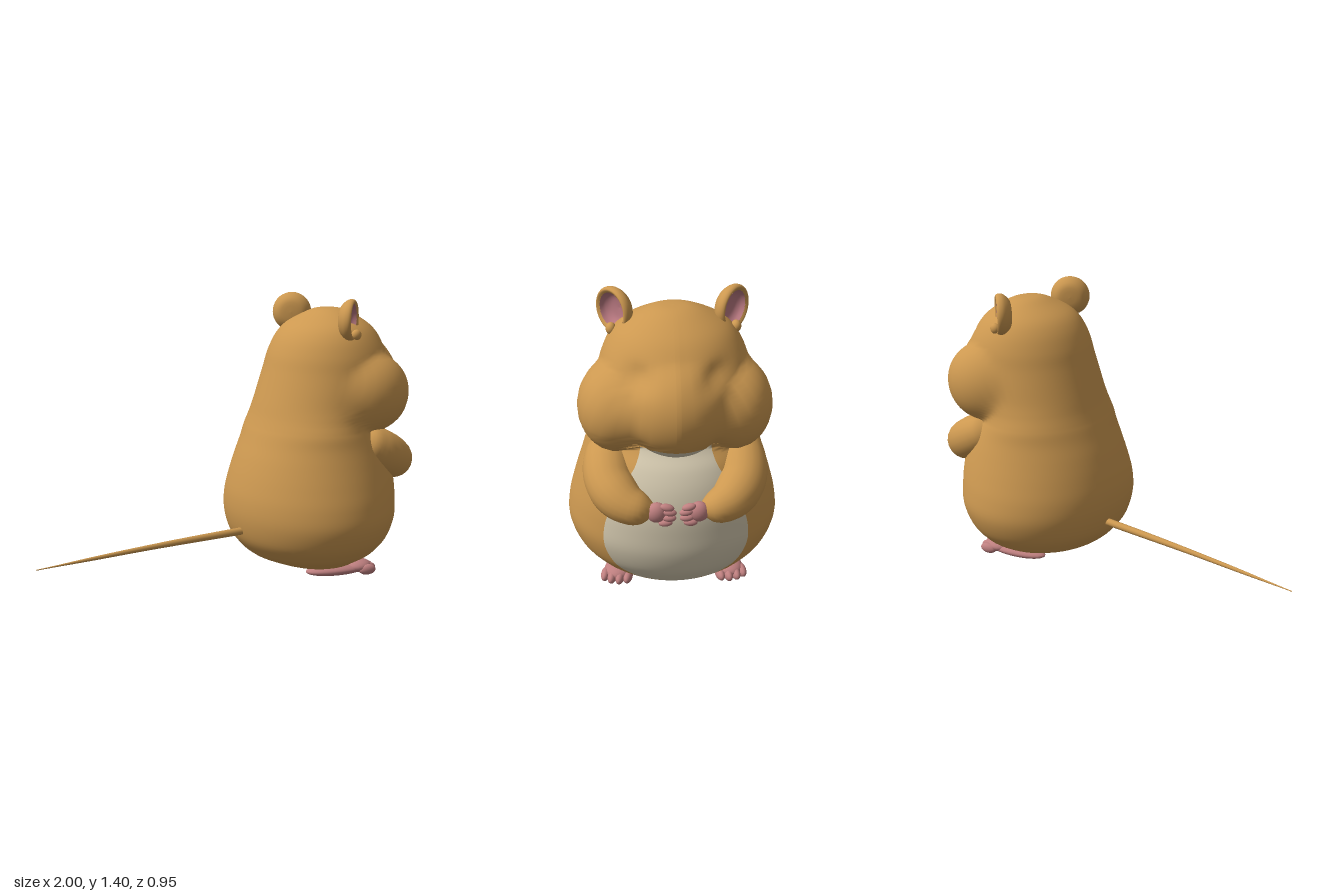
import * as THREE from 'three';
import { mergeVertices } from 'three/addons/utils/BufferGeometryUtils.js';

const mat = (name, color, side = THREE.FrontSide) => {
  const m = new THREE.MeshStandardMaterial({ color, side });
  m.name = name;
  return m;
};

// Body rings: height, back x, front x, half width, half width of the belly patch
const RINGS = [
  [0.035, 0.52, 0.52, 0, 0], [0.037, 0.36, 0.66, 0.2, 0], [0.05, 0.3, 0.72, 0.26, 0],
  [0.085, 0.215, 0.795, 0.32, 0], [0.1, 0.19, 0.815, 0.345, 0.12], [0.13, 0.155, 0.845, 0.385, 0.19],
  [0.2, 0.105, 0.895, 0.44, 0.265], [0.3, 0.08, 0.925, 0.473, 0.31], [0.4, 0.08, 0.93, 0.465, 0.31],
  [0.5, 0.1, 0.925, 0.44, 0.28], [0.6, 0.13, 0.9, 0.41, 0.235], [0.68, 0.16, 0.86, 0.385, 0.18],
  [0.735, 0.18, 0.815, 0.37, 0.155], [0.765, 0.192, 0.8, 0.36, 0.15], [0.8, 0.205, 0.81, 0.35, 0.135],
  [0.83, 0.215, 0.83, 0.345, 0.09], [0.88, 0.23, 0.87, 0.34, 0], [0.96, 0.255, 0.91, 0.335, 0],
  [1.04, 0.28, 0.93, 0.325, 0], [1.12, 0.305, 0.915, 0.31, 0], [1.2, 0.345, 0.86, 0.275, 0],
  [1.26, 0.4, 0.805, 0.225, 0], [1.31, 0.49, 0.73, 0.14, 0], [1.335, 0.55, 0.67, 0.07, 0],
  [1.34, 0.61, 0.61, 0, 0],
];
const BELLY_FROM = 3, BELLY_TO = 15;

// Swellings blended into the body: centre and radii
const BULGES = [
  { c: [0.79, 0.97, 0], r: [0.21, 0.22, 0.22] },      // snout
  { c: [0.7, 0.93, 0.245], r: [0.2, 0.195, 0.165] },  // cheeks
  { c: [0.7, 0.93, -0.245], r: [0.2, 0.195, 0.165] },
];

// Distance from (cx, y, 0) to the far side of a bulge in direction a
function exitDistance({ c, r }, cx, y, a) {
  const k = 1 - ((y - c[1]) / r[1]) ** 2;
  if (k <= 0) return 0;
  const dx = Math.cos(a) / r[0], dz = Math.sin(a) / r[2];
  const ox = (cx - c[0]) / r[0], oz = -c[2] / r[2];
  const A = dx * dx + dz * dz, B = ox * dx + oz * dz, D = B * B - A * (ox * ox + oz * oz - k);
  return D > 0 ? Math.max(0, (Math.sqrt(D) - B) / A) : 0;
}

function bodyGeometry() {
  const STEPS = 5, NB = 18, NF = 50, N = NB + NF, P = 16;
  const curve = (i, j) => new THREE.SplineCurve(RINGS.map(r => new THREE.Vector2(r[i], r[j])));
  const heightWidth = curve(0, 3), backFront = curve(1, 2), patch = curve(4, 4);
  const rows = (RINGS.length - 1) * STEPS, pos = [];
  for (let i = 0; i <= rows; i++) {
    const t = i / rows;
    const { x: y, y: w } = heightWidth.getPoint(t);
    const { x: back, y: front } = backFront.getPoint(t);
    const cx = (back + front) / 2, depth = Math.max(0.0001, (front - back) / 2), width = Math.max(0.0001, w);
    const radius = a => {
      const base = 1 / Math.hypot(Math.cos(a) / depth, Math.sin(a) / width);
      const r = BULGES.reduce((s, b) => s + exitDistance(b, cx, y, a) ** P, base ** P) ** (1 / P);
      if (Math.cos(a) < 0) return r;
      const z = Math.abs(r * Math.sin(a));    // shallow eye hollow
      return r - 0.028 * Math.exp(-(((y - 1.13) / 0.045) ** 2) - ((z - 0.16) / 0.055) ** 2);
    };
    // Angle at which the belly patch ends
    const edgeZ = Math.max(0.01, patch.getPoint(t).x);
    let lo = 0, hi = 1.3;
    for (let k = 0; k < 24; k++) {
      const m = (lo + hi) / 2;
      if (radius(m) * Math.sin(m) < edgeZ) lo = m; else hi = m;
    }
    for (let j = 0; j < N; j++) {
      const a = j < NB ? lo * (2 * j / NB - 1) : lo + (2 * Math.PI - 2 * lo) * (j - NB) / NF;
      const r = radius(a);
      pos.push(cx + r * Math.cos(a), y, r * Math.sin(a));
    }
  }
  const fur = [], belly = [];
  for (let i = 0; i < rows; i++) for (let j = 0; j < N; j++) {
    const a = i * N + j, b = i * N + (j + 1) % N, c = a + N, d = b + N;
    const inPatch = j < NB && i >= BELLY_FROM * STEPS && i < BELLY_TO * STEPS;
    (inPatch ? belly : fur).push(a, c, b, b, c, d);
  }
  const g = new THREE.BufferGeometry();
  g.setAttribute('position', new THREE.Float32BufferAttribute(pos, 3));
  g.setIndex([...fur, ...belly]);
  g.addGroup(0, fur.length, 0);
  g.addGroup(fur.length, belly.length, 1);
  g.computeVertexNormals();
  return g;
}

// Tube whose radius follows a list of values along the path
function taperedTube(points, radii, segments = 32, sides = 20) {
  const path = new THREE.CatmullRomCurve3(points.map(p => new THREE.Vector3(...p)));
  const size = new THREE.SplineCurve(radii.map(r => new THREE.Vector2(r, 0)));
  let g = new THREE.TubeGeometry(path, segments, 1, sides);
  const p = g.attributes.position, v = new THREE.Vector3();
  for (let i = 0; i <= segments; i++) {
    const c = path.getPointAt(i / segments), r = Math.max(0.0005, size.getPoint(i / segments).x);
    for (let j = 0; j <= sides; j++) {
      const k = i * (sides + 1) + j;
      v.fromBufferAttribute(p, k).sub(c).multiplyScalar(r).add(c);
      p.setXYZ(k, v.x, v.y, v.z);
    }
  }
  g.deleteAttribute('uv');
  g.deleteAttribute('normal');
  g = mergeVertices(g, 1e-5);
  g.computeVertexNormals();
  return g;
}

export function createModel() {
  const model = new THREE.Group();
  model.name = 'rodent';
  const fur = mat('fur', 0xcc9850), cream = mat('cream belly', 0xd3c8ae);
  const pink = mat('pink skin', 0xbf8080), earPink = mat('inner ear pink', 0xb87880, THREE.DoubleSide);

  const add = (parent, name, geometry, material) => {
    const m = new THREE.Mesh(geometry, material);
    m.name = name;
    parent.add(m);
    return m;
  };
  const ball = (parent, name, material, p, r) => {
    const m = add(parent, name, new THREE.SphereGeometry(1, 24, 16), material);
    m.position.set(...p);
    m.scale.set(...r);
    return m;
  };
  const group = name => {
    const g = new THREE.Group();
    g.name = name;
    model.add(g);
    return g;
  };

  add(model, 'body', bodyGeometry(), [fur, cream]);
  add(model, 'tail', taperedTube([[0.14, 0.243, 0], [-0.4, 0.246, 0], [-1, 0.238, 0]],
    [0.019, 0.017, 0.013, 0.009, 0.002], 24, 12), fur);

  for (const s of [1, -1]) {
    const side = s > 0 ? 'right' : 'left';

    // Arm folded across the chest, with a four-fingered hand
    const arm = group(side + 'Arm');
    add(arm, 'sleeve', taperedTube([[0.575, 0.725, s * 0.29], [0.68, 0.67, s * 0.29], [0.81, 0.6, s * 0.275],
      [0.895, 0.555, s * 0.2], [0.925, 0.54, s * 0.075]], [0, 0.08, 0.103, 0.108, 0.105, 0.1, 0.085, 0.062, 0]), fur);
    ball(arm, 'palm', pink, [0.935, 0.54, s * 0.088], [0.033, 0.046, 0.043]);
    [[0.572, 0.045], [0.548, 0.035], [0.521, 0.037], [0.498, 0.052]].forEach(([y, z], i) => {
      const f = ball(arm, 'finger', pink, [0.95, y, s * z], [0.017, 0.016, 0.03]);
      f.rotation.x = s * (0.25 - i * 0.1) * -1;
    });

    // Foot turned slightly outward
    const foot = group(side + 'Foot');
    foot.position.set(0.55, 0, s * 0.235);
    foot.rotation.y = -s * 0.22;
    ball(foot, 'sole', pink, [-0.02, 0.034, 0], [0.175, 0.03, 0.062]);
    ball(foot, 'instep', pink, [0.085, 0.042, 0], [0.075, 0.034, 0.064]);
    [-0.052, -0.018, 0.018, 0.052].forEach(z =>
      ball(foot, 'toe', pink, [0.142 - Math.abs(z) * 0.4, 0.03, z], [0.046, 0.027, 0.021]));

    // Cupped ear opening forward and outward
    const ear = group(side + 'Ear');
    ear.position.set(0.55, 1.3, s * 0.238);
    ear.quaternion.setFromUnitVectors(new THREE.Vector3(0, 1, 0), new THREE.Vector3(0.64, 0, s * 0.77));
    const lathe = pts => new THREE.LatheGeometry(
      new THREE.SplineCurve(pts.map(p => new THREE.Vector2(...p))).getPoints(18), 36);
    add(ear, 'earShell', lathe([[0, -0.042], [0.06, -0.036], [0.094, -0.006], [0.1, 0.02], [0.09, 0.034], [0.076, 0.026]]), fur);
    add(ear, 'innerEar', lathe([[0.077, 0.027], [0.068, 0.004], [0.045, -0.012], [0, -0.018]]), earPink);
    ball(model, side + 'EarFold', fur, [0.585, 1.227, s * 0.262], [0.026, 0.026, 0.022]);
  }
  return model;
}
